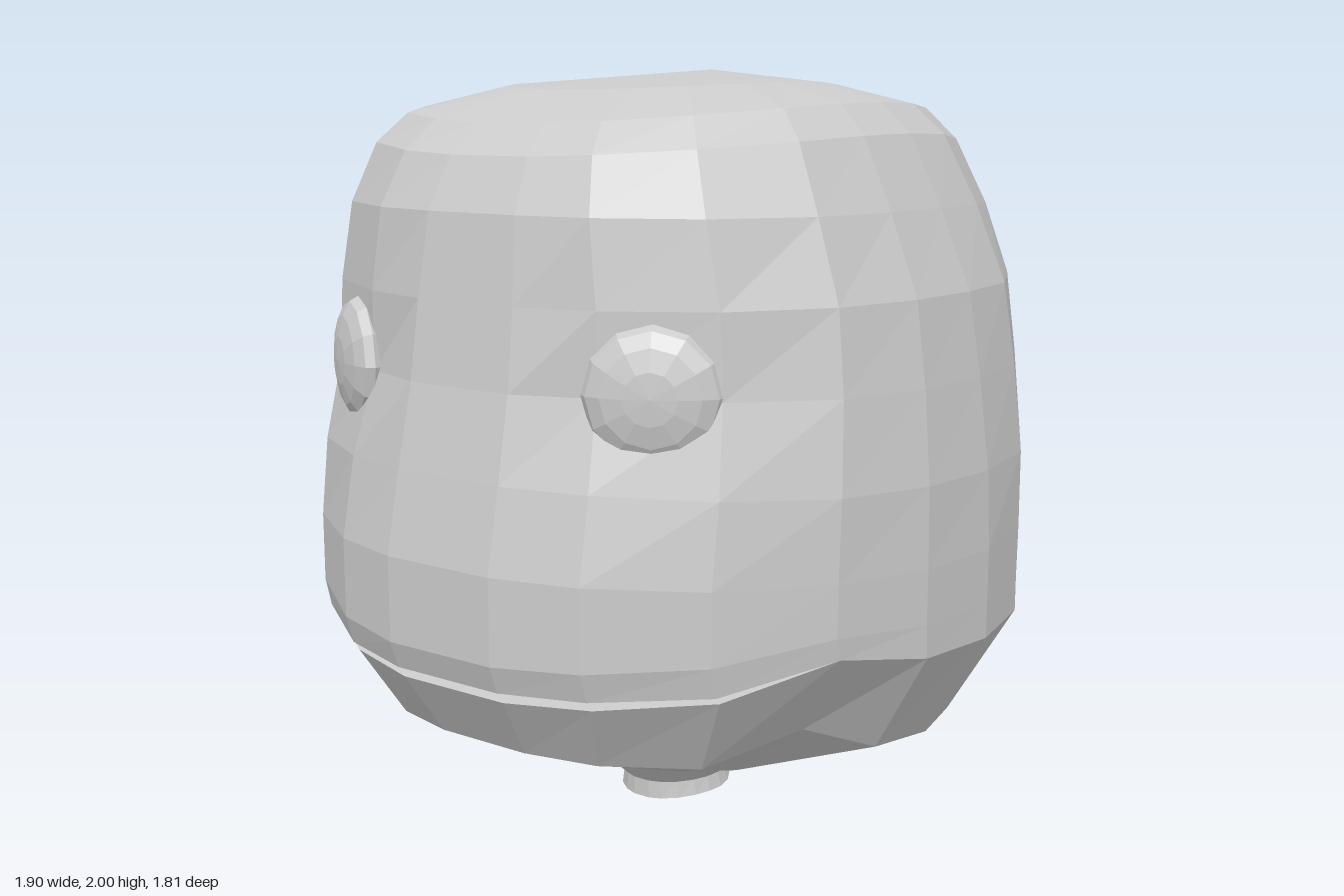
import * as THREE from 'three';

const CZ = -0.05; // depth of the widest line of the head
// half of the ring directions in degrees, measured from the front
const HALF = [10, 24, 42, 60, 76, 92, 109, 128, 153];
const ANGLES = [...HALF.map(a => -a).reverse(), ...HALF, 180];
const CORNER = 60; // direction of the mouth corners
const EYE = new THREE.Vector3(0.48, 1.26, 0.68);
const EYE_TURN = Math.PI / 6;

// yFront, ySide, yBack, zFront, zBack, halfWidth, squareness, cornerLift, mouthInset
const RINGS = [
  [1.945, 1.965, 1.95, 0.38, -0.39, 0.4, 3],
  [1.865, 1.915, 1.87, 0.62, -0.61, 0.62, 2.9],
  [1.79, 1.84, 1.78, 0.7, -0.69, 0.7, 2.8],
  [1.66, 1.66, 1.63, 0.765, -0.78, 0.79, 2.6],
  [1.45, 1.46, 1.47, 0.795, -0.84, 0.875, 2.4],
  [1.25, 1.25, 1.26, 0.825, -0.88, 0.91, 2.3],
  [1.04, 1.02, 1.05, 0.87, -0.91, 0.94, 2.2],
  [0.83, 0.82, 0.87, 0.915, -0.9, 0.95, 2.1],
  [0.61, 0.68, 0.74, 0.915, -0.89, 0.95, 2.1, 0.03],
  [0.54, 0.59, 0.67, 0.89, -0.89, 0.95, 2.1, 0.06],        // upper lip edge
  [0.555, 0.59, 0.67, 0.89, -0.89, 0.95, 2.1, 0.06, 0.12], // inside of mouth
  [0.52, 0.59, 0.67, 0.89, -0.89, 0.95, 2.1, 0.06, 0.12],
  [0.51, 0.59, 0.67, 0.87, -0.89, 0.95, 2.1, 0.06],        // lower lip edge
  [0.35, 0.31, 0.36, 0.765, -0.67, 0.79, 2.1, 0.1],
  [0.24, 0.19, 0.2, 0.5, -0.46, 0.46, 2],
  [0.125, 0.11, 0.14, 0.2, -0.27, 0.22, 2],
  [0.05, 0.05, 0.065, 0.12, -0.18, 0.14, 2],               // neck
  [0, 0.01, 0.04, 0.12, -0.2, 0.15, 2],
];

function ringPoint(ring, degrees) {
  const [yF, yS, yB, zF, zB, width, n, lift = 0, inset = 0] = ring;
  const a = THREE.MathUtils.degToRad(degrees);
  const s = Math.sin(a), c = Math.cos(a);
  const r = 1 / Math.pow(Math.abs(s) ** n + Math.abs(c) ** n, 1 / n);
  const inMouth = Math.abs(degrees) < CORNER;
  const shrink = inMouth ? 1 - inset : 1;
  // lip edges meet at the corners and stay joined behind them
  const depth = (c > 0 ? (inMouth || zF < 0.87 || zF > 0.9 ? zF : 0.89) : -zB) + (c > 0 ? -CZ : CZ);
  let y = yS + ((c > 0 ? yF : yB) - yS) * c * c;
  if (yS === 0.59 && c > 0 && !inMouth) y = yS - 0.05 * c * c;
  y += lift * Math.exp(-(((Math.abs(degrees) - CORNER) / 12) ** 2));
  const p = new THREE.Vector3(s * r * width * shrink, y, CZ + c * r * depth * shrink);
  // shallow eye sockets
  const d2 = (Math.abs(p.x) - EYE.x) ** 2 + (p.y - EYE.y) ** 2;
  if (c > 0) {
    const dent = 0.05 * Math.exp(-d2 / 0.03);
    p.x -= Math.sign(p.x) * dent * Math.sin(EYE_TURN);
    p.z -= dent * Math.cos(EYE_TURN);
  }
  return p;
}

function headGeometry() {
  const loops = RINGS.map(ring => ANGLES.map(a => ringPoint(ring, a)));
  const crown = new THREE.Vector3(0, 2, -0.2);
  const positions = [];
  const tri = (a, b, c) => {
    const area = b.clone().sub(a).cross(c.clone().sub(a)).length();
    if (area > 1e-7) for (const p of [a, b, c]) positions.push(p.x, p.y, p.z);
  };
  const count = ANGLES.length;
  for (let i = 0; i < count; i++) {
    const j = (i + 1) % count;
    tri(loops[0][i], loops[0][j], crown);
    for (let k = 0; k < loops.length - 1; k++) {
      const up = loops[k], low = loops[k + 1];
      tri(low[i], low[j], up[j]);
      tri(low[i], up[j], up[i]);
    }
  }
  const geometry = new THREE.BufferGeometry();
  geometry.setAttribute('position', new THREE.Float32BufferAttribute(positions, 3));
  geometry.computeVertexNormals();
  return geometry;
}

export function createModel() {
  const model = new THREE.Group();
  model.name = 'head';
  const material = new THREE.MeshStandardMaterial({
    color: 0xcccccc, flatShading: true, side: THREE.DoubleSide,
  });

  // skull, mouth and open neck in one skin
  const skin = new THREE.Mesh(headGeometry(), material);
  skin.name = 'headSkin';
  model.add(skin);

  // flattened button eyes turned outwards
  const eyeGeometry = new THREE.SphereGeometry(1, 12, 8).rotateX(Math.PI / 2);
  for (const side of [1, -1]) {
    const eye = new THREE.Mesh(eyeGeometry, material);
    eye.name = side > 0 ? 'leftEye' : 'rightEye';
    eye.scale.set(0.168, 0.165, 0.06);
    eye.position.set(side * EYE.x, EYE.y, EYE.z);
    eye.rotation.y = side * EYE_TURN;
    model.add(eye);
  }
  return model;
}
